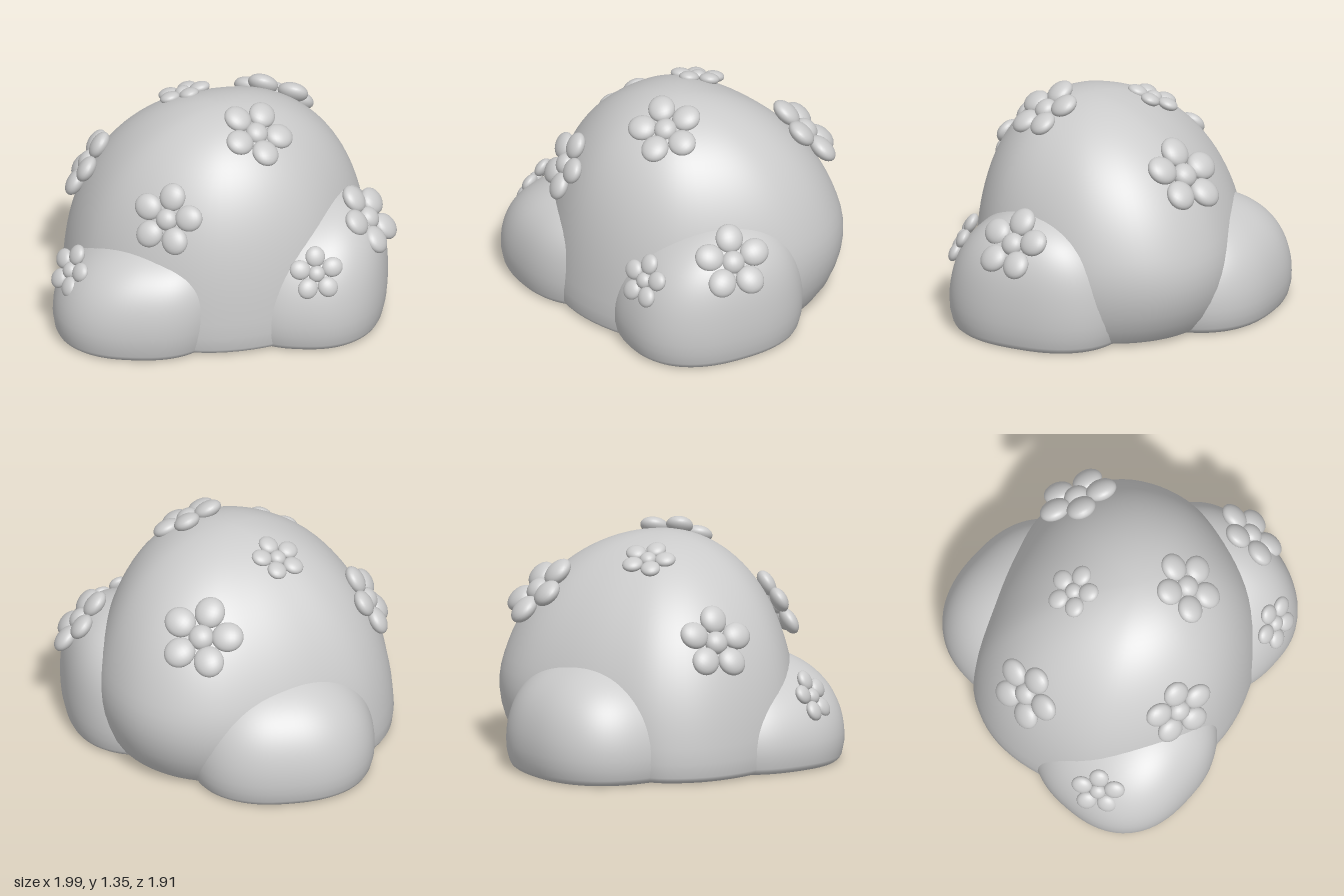
import * as THREE from 'three';
import { mergeVertices } from 'three/addons/utils/BufferGeometryUtils.js';

const SEGMENTS = 80;

// Vertical profile as [radius factor, height]: flat base, small rounded rim, dome.
function domeProfile(height, power) {
  const pts = [[0, 0], [0.5, 0], [0.9, 0], [0.94, 0.004], [0.97, 0.018], [0.986, 0.04]];
  const steps = 30;
  for (let i = 1; i <= steps; i++) {
    const y = height * Math.pow(Math.sin((i / steps) * Math.PI / 2), 2 / power);
    if (y < 0.07) continue;
    pts.push([Math.sqrt(Math.max(0, 1 - Math.pow(y / height, power))), y]);
  }
  return pts.map(([r, y]) => new THREE.Vector2(r, y));
}

// Dome whose plan follows a closed outline of [x, z] points around a centre.
// The centre drifts toward the top; swell(dx, dz, y) scales the radius locally.
function domeGeometry(outline, [cx, cz], height, power, [driftX, driftZ], swell) {
  const curve = new THREE.CatmullRomCurve3(
    outline.map(([x, z]) => new THREE.Vector3(x, 0, z)), true);
  const profile = domeProfile(height, power);
  const geo = new THREE.LatheGeometry(profile, SEGMENTS);
  const pos = geo.attributes.position;
  for (let i = 0; i <= SEGMENTS; i++) {
    const p = curve.getPoint((i % SEGMENTS) / SEGMENTS);
    const dx = p.x - cx, dz = p.z - cz;
    profile.forEach(({ x: r, y }, j) => {
      const k = (y / height) ** 2;
      const s = r * swell(dx, dz, y);
      pos.setXYZ(i * profile.length + j, cx + dx * s + driftX * k, y, cz + dz * s + driftZ * k);
    });
  }
  geo.deleteAttribute('uv');
  geo.deleteAttribute('normal');
  const smooth = mergeVertices(geo, 1e-5);
  smooth.computeVertexNormals();
  return smooth;
}

// Squared ellipse, starting at +z and turning toward +x.
function roundedOutline([cx, cz], rx, rz, n = 2.4) {
  const bend = (v) => Math.sign(v) * Math.pow(Math.abs(v), 2 / n);
  return Array.from({ length: 32 }, (_, i) => {
    const a = (i / 32) * Math.PI * 2;
    return [cx + rx * bend(Math.sin(a)), cz + rz * bend(Math.cos(a))];
  });
}

// The main dome bulges at mid height and tucks in at the base on its back left side.
function backBulge(dx, dz, y) {
  const facing = Math.max(0, (0.5 * dx - 0.86 * dz) / Math.hypot(dx, dz));
  const low = Math.max(0, 1 - y / 0.55);
  return 1 + facing * (0.05 - 0.22 * low * low);
}

// The lobes tuck in slightly toward the base.
function lobeTuck(dx, dz, y) {
  return 1 - 0.045 * Math.max(0, 1 - y / 0.25) ** 2;
}

// Five-petal flower lying in its local xy plane, facing +z.
function createFlower(radius, ball, material) {
  const flower = new THREE.Group();
  for (let i = 0; i < 5; i++) {
    const a = Math.PI / 2 + (i / 5) * Math.PI * 2;
    const petal = new THREE.Mesh(ball, material);
    petal.name = 'petal';
    petal.position.set(Math.cos(a) * radius * 0.64, Math.sin(a) * radius * 0.64, 0);
    petal.rotation.z = a;
    petal.scale.set(radius * 0.39, radius * 0.365, radius * 0.22);
    flower.add(petal);
  }
  const centre = new THREE.Mesh(ball, material);
  centre.name = 'flowerCentre';
  centre.scale.set(radius * 0.31, radius * 0.31, radius * 0.24);
  flower.add(centre);
  return flower;
}

export function createModel() {
  const model = new THREE.Group();
  model.name = 'floweringBush';
  const grey = new THREE.MeshStandardMaterial({ color: 0xcccccc });
  grey.name = 'lightGrey';

  const add = (name, geometry) => {
    const mesh = new THREE.Mesh(geometry, grey);
    mesh.name = name;
    model.add(mesh);
  };

  // Main dome
  const plan = [
    [-0.1, 0.84], [0.3, 0.74], [0.6, 0.5], [0.75, 0.12], [0.77, -0.22], [0.65, -0.52],
    [0.45, -0.7], [0.18, -0.78], [-0.2, -0.73], [-0.52, -0.62], [-0.8, -0.45],
    [-0.94, -0.2], [-0.95, 0.12], [-0.82, 0.48], [-0.5, 0.74],
  ];
  add('mainDome', domeGeometry(plan, [-0.09, 0.03], 1.3, 2.5, [0.075, 0.1], backBulge));

  // Side lobes: name, centre, radius x, radius z, height, roundness, drift of the top
  const lobes = [
    ['frontLobe', [-0.49, 0.45], 0.51, 0.505, 0.63, 3.4, [0.15, 0.03]],
    ['leftLobe', [0.47, 0.22], 0.47, 0.55, 0.76, 3, [0.1, -0.04]],
    ['backLobe', [-0.235, -0.42], 0.56, 0.54, 0.665, 3.1, [0.02, 0]],
  ];
  for (const [name, centre, rx, rz, height, power, drift] of lobes) {
    const outline = roundedOutline(centre, rx, rz);
    add(name, domeGeometry(outline, centre, height, power, drift, lobeTuck));
  }

  // Flowers: name, radius, position, facing direction, direction of the first petal
  const UP = [0, 1, 0], BACK = [0, 0, -1];
  const flowers = [
    ['frontFlower', 0.21, [-0.31, 0.85, 0.725], [-0.25, 0.45, 0.86], [0.1, 1, 0]],
    ['topFlower', 0.215, [0.19, 1.225, 0.34], [0.38, 0.85, 0.4], BACK],
    ['backFlower', 0.24, [0.24, 0.985, -0.57], [0.2, 0.7, -0.65], BACK],
    ['smallTopFlower', 0.157, [-0.27, 1.21, -0.14], [-0.27, 0.92, -0.27], [0.1, 0, -1]],
    ['rightFlower', 0.22, [-0.815, 0.8, -0.02], [-0.86, 0.5, -0.08], [0, 1, 0.1]],
    ['frontLobeFlower', 0.157, [-0.88, 0.42, 0.6], [-0.73, 0.46, 0.47], UP],
    ['leftLobeFlower', 0.22, [0.835, 0.635, 0.255], [0.74, 0.63, 0.2], UP],
    ['smallLeftLobeFlower', 0.157, [0.56, 0.5, 0.695], [0.22, 0.45, 0.86], UP],
  ];
  const ball = new THREE.SphereGeometry(1, 24, 16);
  for (const [name, radius, position, facing, first] of flowers) {
    const flower = createFlower(radius, ball, grey);
    flower.name = name;
    flower.position.set(...position);
    const z = new THREE.Vector3(...facing).normalize();
    const x = new THREE.Vector3(...first).cross(z).normalize();
    const y = z.clone().cross(x);
    flower.quaternion.setFromRotationMatrix(new THREE.Matrix4().makeBasis(x, y, z));
    model.add(flower);
  }
  return model;
}
